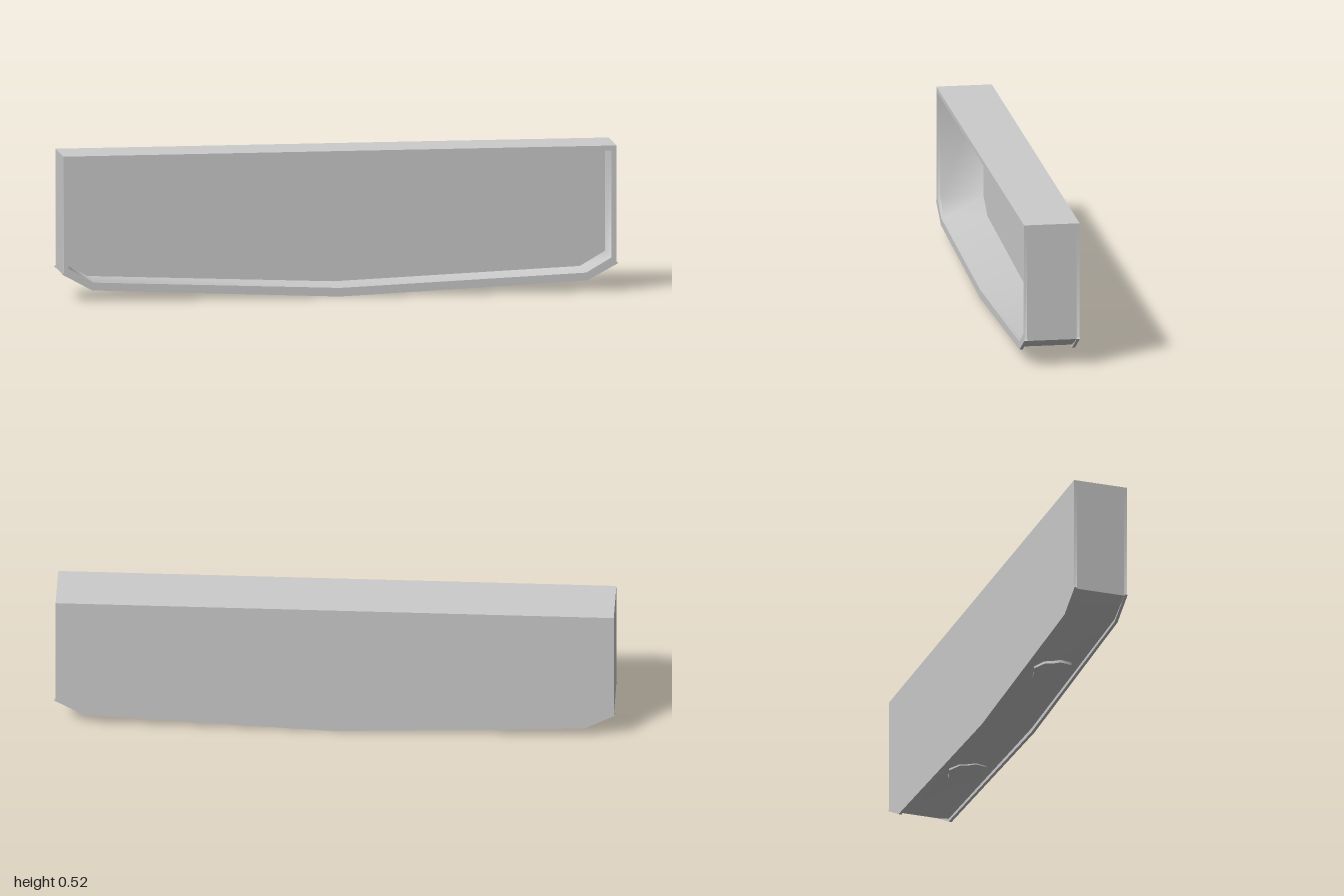
import * as THREE from 'three';
import { toCreasedNormals } from 'three/addons/utils/BufferGeometryUtils.js';

const material = new THREE.MeshStandardMaterial({ color: 0xcccccc });
const CREASE = THREE.MathUtils.degToRad(65);

// Mirrored outline: points run up the +x side from the centre bottom to the top.
function outline(half, PathType = THREE.Shape) {
  const left = half.filter(([x]) => x > 0).reverse().map(([x, y]) => [-x, y]);
  return new PathType([...half, ...left].map(([x, y]) => new THREE.Vector2(x, y)));
}

const SKIRT = [[0, 0], [0.89, 0.04], [1, 0.1], [0.994, 0.106], [0.994, 0.523]];
const CORE = [[0, 0.015], [0.89, 0.051], [0.994, 0.098], [0.994, 0.523]];
const INSIDE = [[0, 0.031], [0.885, 0.068], [0.976, 0.121], [0.976, 0.506]];

function extrude(name, shape, depth) {
  const geometry = new THREE.ExtrudeGeometry(shape, { depth, bevelEnabled: false });
  const mesh = new THREE.Mesh(toCreasedNormals(geometry, CREASE), material);
  mesh.name = name;
  return mesh;
}

// Slab of an outline between two depths, optionally cut by the inner opening.
function slab(name, half, z0, z1, open) {
  const shape = outline(half);
  if (open) shape.holes.push(outline(INSIDE, THREE.Path));
  const mesh = extrude(name, shape, z1 - z0);
  mesh.position.z = z0;
  return mesh;
}

// Irregular pad with a flat underside, set into the sloping bottom.
function bottomPad(x) {
  const points = [
    [0.07, 0.057], [0.085, 0.03], [0.078, 0.008], [0.085, -0.015], [0.07, -0.042],
    [0.035, -0.05], [0, -0.062], [-0.05, -0.04], [-0.062, -0.012], [-0.08, 0.012],
    [-0.07, 0.055], [-0.03, 0.05], [0.015, 0.062],
  ].map(([px, pz]) => new THREE.Vector2(px, -pz));
  const mesh = extrude('bottomPad', new THREE.Shape(points), 0.012);
  mesh.rotation.x = -Math.PI / 2;
  mesh.position.set(x, 0.026, 0);
  return mesh;
}

export function createModel() {
  const group = new THREE.Group();
  group.name = 'openCase';
  group.add(
    slab('frontRim', SKIRT, 0.089, 0.1, true),
    slab('frame', CORE, -0.067, 0.089, true),
    slab('backWall', CORE, -0.089, -0.067, false),
    slab('backSkirt', SKIRT, -0.1, -0.089, false),
  );
  for (const side of [1, -1]) group.add(bottomPad(side * 0.455));
  return group;
}
